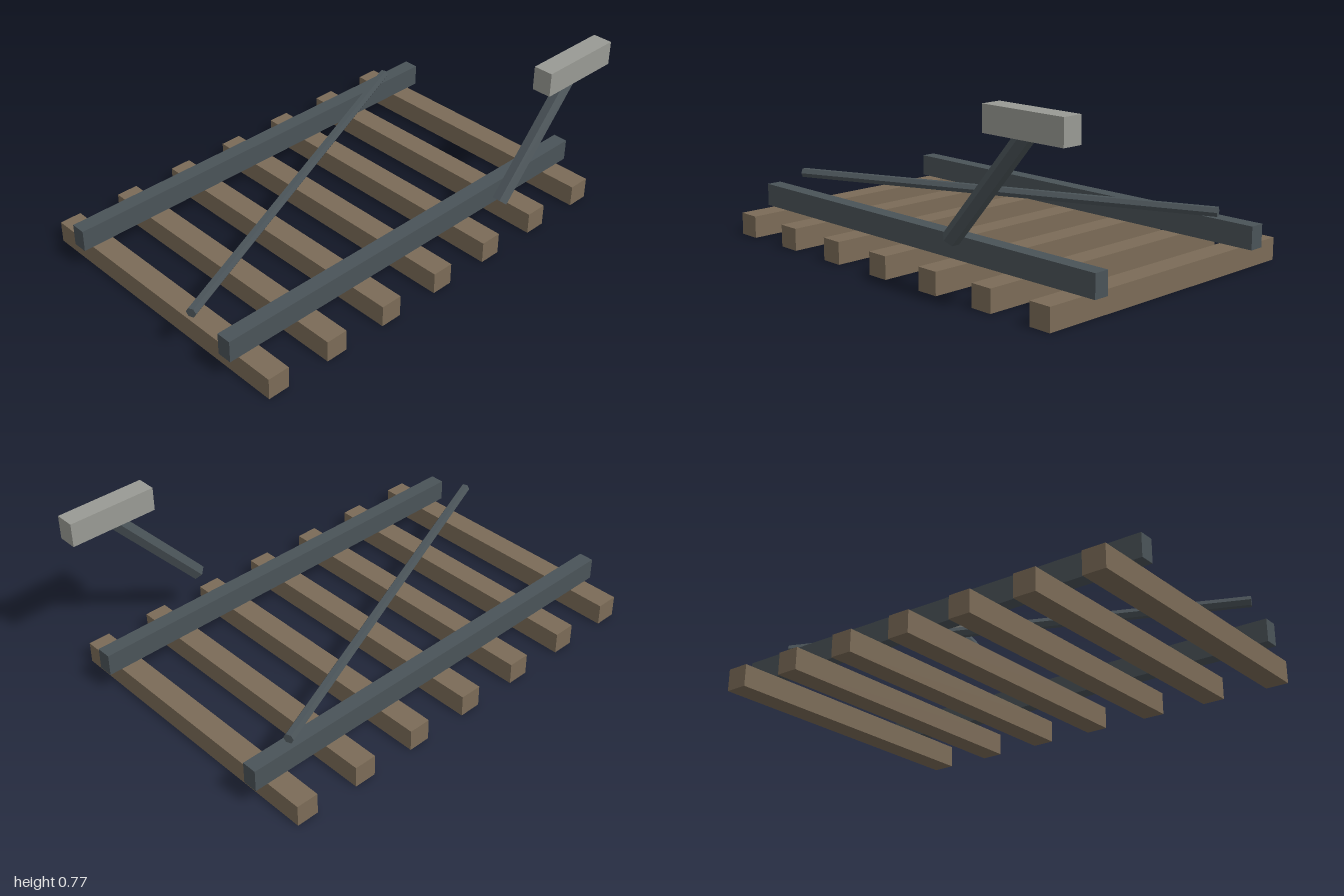
import * as THREE from 'three';

const material = (color) => new THREE.MeshStandardMaterial({ color, flatShading: true });

export function createModel() {
  const group = new THREE.Group();
  const wood = material(0x7b6b57);
  const steel = material(0x4a5358);
  const grey = material(0x999a94);

  const addBox = (name, mat, size, position) => {
    const mesh = new THREE.Mesh(new THREE.BoxGeometry(...size), mat);
    mesh.name = name;
    mesh.position.set(...position);
    group.add(mesh);
  };

  // Six-sided bar between two points, with two flats kept facing up and down
  const addBar = (name, radius, from, to) => {
    const a = new THREE.Vector3(...from);
    const b = new THREE.Vector3(...to);
    const d = b.clone().sub(a);
    const mesh = new THREE.Mesh(new THREE.CylinderGeometry(radius, radius, d.length(), 6), steel);
    mesh.name = name;
    mesh.position.copy(a).add(b).multiplyScalar(0.5);
    mesh.rotation.order = 'YXZ';
    mesh.rotation.z = Math.atan2(d.y, Math.hypot(d.x, d.z)) - Math.PI / 2;
    mesh.rotation.y = Math.atan2(-d.z, d.x);
    group.add(mesh);
  };

  // Wooden cross ties
  for (let i = 0; i < 7; i++) {
    addBox(`tie${i + 1}`, wood, [0.099, 0.096, 1.334], [-0.889 + i * 0.297, 0.048, 0]);
  }

  // Two long rails
  for (const side of [-1, 1]) {
    addBox(side > 0 ? 'frontRail' : 'backRail', steel, [1.98, 0.098, 0.067], [0.01, 0.145, side * 0.465]);
  }

  // Diagonal rod lying across the rails
  addBar('diagonalRod', 0.0222, [-0.991, 0.214, 0.291], [0.806, 0.214, -0.466]);

  // Leaning lever with its weight
  addBar('leverArm', 0.037, [0.389, 0.224, 0.624], [0.808, 0.7, 0.624]);
  addBox('leverWeight', grey, [0.396, 0.106, 0.087], [0.802, 0.714, 0.624]);

  return group;
}
